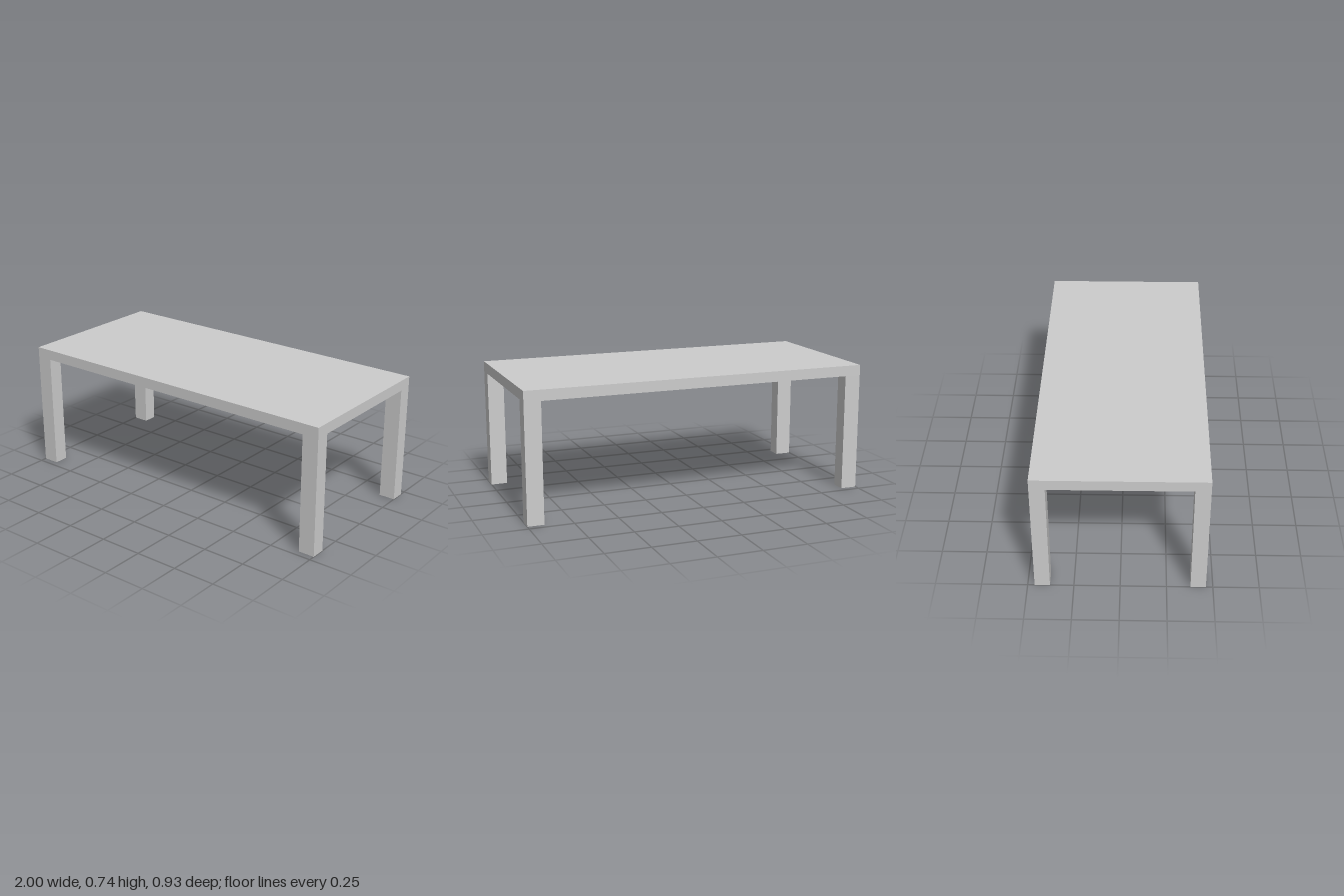
import * as THREE from 'three';

const LENGTH = 2, DEPTH = 0.925, HEIGHT = 0.735, TOP = 0.06;
const LEG_X = 0.094, LEG_Z = 0.083;

export function createModel() {
  const table = new THREE.Group();
  table.name = 'table';
  const material = new THREE.MeshStandardMaterial({ color: 0xcccccc });

  const addBox = (name, w, h, d, x, y, z) => {
    const mesh = new THREE.Mesh(new THREE.BoxGeometry(w, h, d), material);
    mesh.name = name;
    mesh.position.set(x, y, z);
    table.add(mesh);
  };

  // Flat slab top
  addBox('tabletop', LENGTH, TOP, DEPTH, 0, HEIGHT - TOP / 2, 0);

  // Four legs, flush with the corners of the top
  const legHeight = HEIGHT - TOP;
  for (const [sideName, sx] of [['Left', 1], ['Right', -1]]) {
    for (const [endName, sz] of [['front', 1], ['back', -1]]) {
      addBox(`${endName}${sideName}Leg`, LEG_X, legHeight, LEG_Z,
        sx * (LENGTH - LEG_X) / 2, legHeight / 2, sz * (DEPTH - LEG_Z) / 2);
    }
  }
  return table;
}
